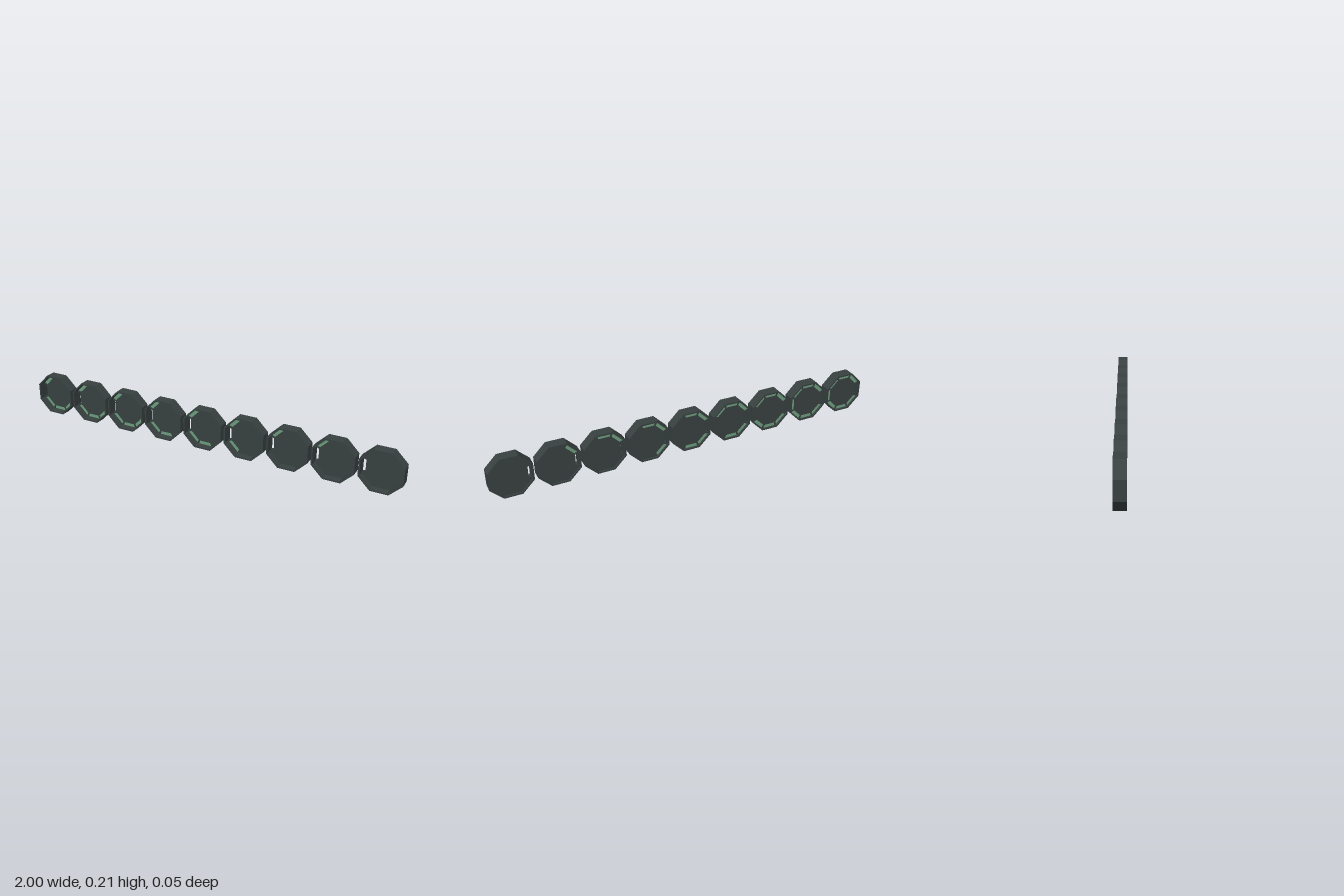
import * as THREE from 'three';

const COUNT = 9, STEP = 0.224, APOTHEM = 0.104, HALF_DEPTH = 0.027;
// Order in which the segments light up, as eighths of a turn from +x; the -x slot (4) stays open.
const ORDER = [3, 2, 5, 6, 1, 7, 0];

// Octagon outline with flat sides facing the axes
function octagon(apothem) {
  const r = apothem / Math.cos(Math.PI / 8);
  return Array.from({ length: 8 }, (_, k) => {
    const a = (k + 0.5) * Math.PI / 4;
    return new THREE.Vector2(r * Math.cos(a), r * Math.sin(a));
  });
}

// Trapezoid slot lying along one side of the octagon
function slot(k) {
  const a = k * Math.PI / 4;
  return [[0.079, -0.028], [0.096, -0.034], [0.096, 0.034], [0.079, 0.028]]
    .map(([x, y]) => new THREE.Vector2(x, y).rotateAround(new THREE.Vector2(), a));
}

function slab(points, holes, z, depth) {
  const shape = new THREE.Shape(points);
  holes.forEach(h => shape.holes.push(new THREE.Path(h)));
  const g = new THREE.ExtrudeGeometry(shape, { depth, bevelEnabled: false });
  g.translate(0, 0, z);
  return g;
}

export function createModel() {
  const darkMetal = new THREE.MeshStandardMaterial({ color: 0x384040 });
  darkMetal.name = 'darkMetal';
  const greenLight = new THREE.MeshStandardMaterial({ color: 0x6b9c7c });
  greenLight.name = 'greenLight';

  const model = new THREE.Group();
  model.name = 'octagonIndicatorRow';
  const add = (parent, name, geometry, material) => {
    const mesh = new THREE.Mesh(geometry, material);
    mesh.name = name;
    parent.add(mesh);
  };

  const rimGeometry = slab(octagon(APOTHEM), [octagon(0.096)], -HALF_DEPTH, 2 * HALF_DEPTH);

  for (let i = 0; i < COUNT; i++) {
    const unit = new THREE.Group();
    unit.name = `indicator${i + 1}`;
    unit.position.set((i - (COUNT - 1) / 2) * STEP, APOTHEM, 0);

    // Each unit along the row has one lit segment fewer
    const lit = ORDER.slice(0, COUNT - 1 - i);
    add(unit, 'rim', rimGeometry, darkMetal);

    // Recessed face plate, cut for the open slot and the lit segments
    const cuts = [4, ...lit].map(slot);
    add(unit, 'facePlate', slab(octagon(0.0962), cuts, -0.019, 0.012), darkMetal);
    lit.forEach(k => add(unit, 'lightSegment', slab(slot(k), [], -0.0175, 0.009), greenLight));

    model.add(unit);
  }
  return model;
}
